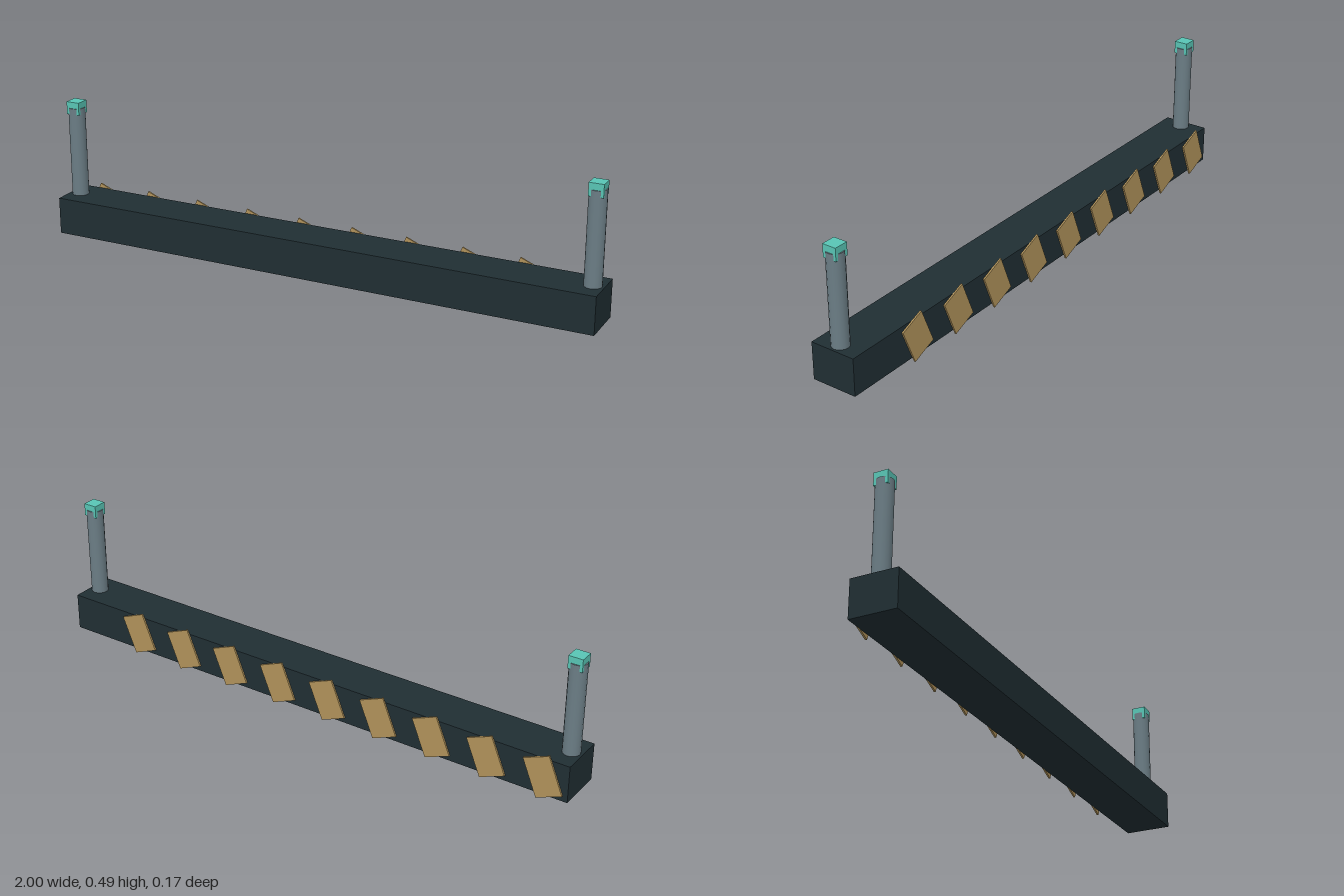
import * as THREE from 'three';

const paint = (color) => new THREE.MeshStandardMaterial({ color });
const BEAM = paint(0x202e33), POST = paint(0x6b7d85), CAP = paint(0x58c4b4), STRIPE = paint(0xb0925a);
const MID_Y = 0.081, MID_Z = 0.003;

export function createModel() {
  const model = new THREE.Group();
  model.name = 'barrier';

  const add = (name, geometry, material, x, y, z) => {
    const mesh = new THREE.Mesh(geometry, material);
    mesh.name = name;
    mesh.position.set(x, y, z);
    model.add(mesh);
    return mesh;
  };

  // Long beam
  add('beam', new THREE.BoxGeometry(2, 0.132, 0.164), BEAM, 0, MID_Y, MID_Z);

  // Round post with a square cap at each end
  const postGeometry = new THREE.CylinderGeometry(0.03, 0.03, 0.325, 16);
  const capGeometry = new THREE.BoxGeometry(0.05, 0.045, 0.05);
  for (const [side, x] of [['left', 0.962], ['right', -0.962]]) {
    add(side + 'Post', postGeometry, POST, x, 0.3075, MID_Z);
    add(side + 'Cap', capGeometry, CAP, x, 0.4705, MID_Z);
  }

  // Slanted hazard stripes along the back face
  const stripeGeometry = new THREE.BoxGeometry(0.097, 0.139, 0.006);
  for (let i = 0; i < 9; i++) {
    const stripe = add('stripe' + (i + 1), stripeGeometry, STRIPE, -0.912 + i * 0.2025, MID_Y, -0.082);
    stripe.rotation.z = -0.39;
  }
  return model;
}
